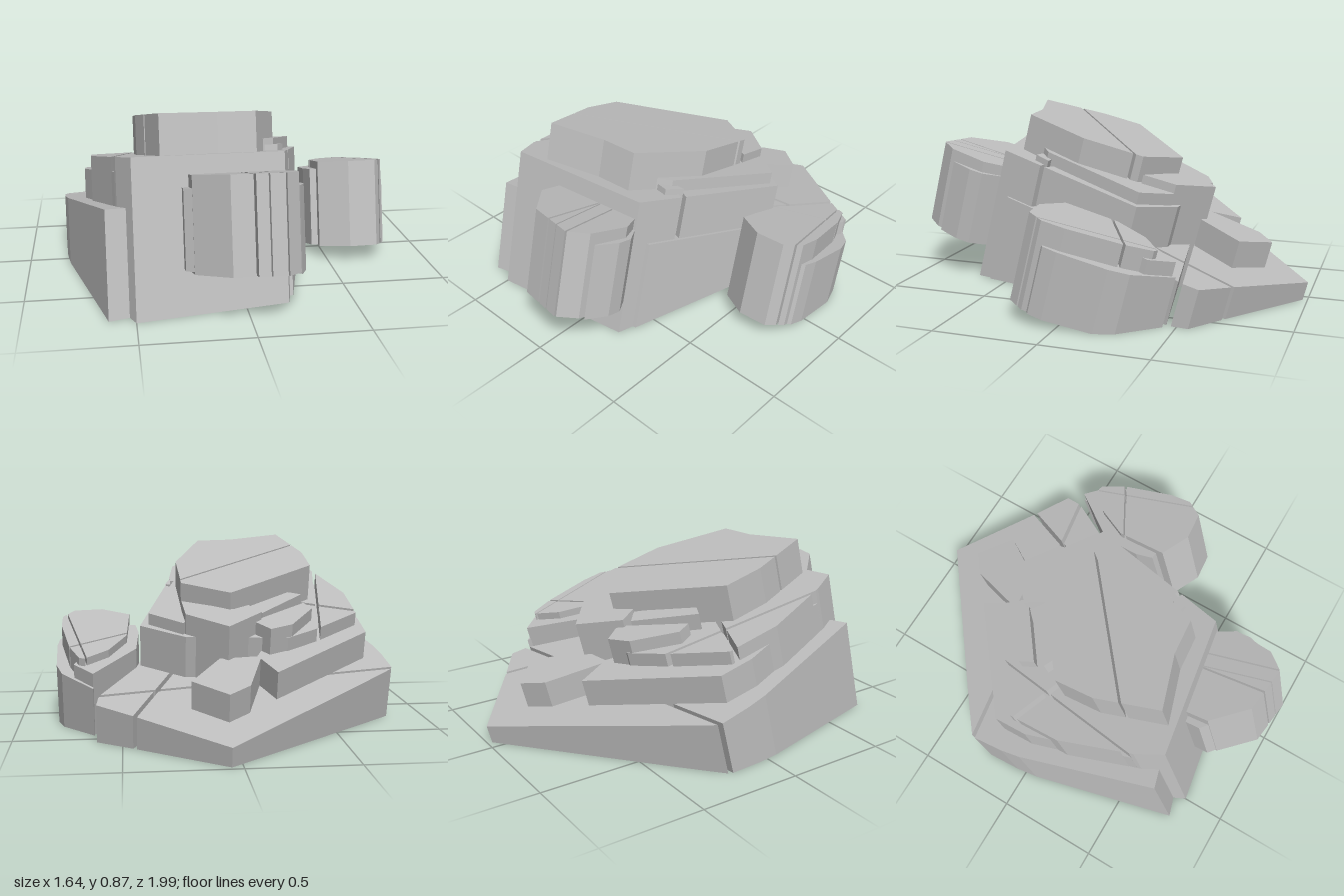
import * as THREE from 'three';

const TILT = 0.25; // strata lean: rise toward the front per unit of z
const LEN = Math.hypot(1, TILT);

// Keeps the part of an outline where normal . point >= limit
function clip(outline, [nx, nz], limit) {
  const out = [];
  outline.forEach((a, i) => {
    const b = outline[(i + 1) % outline.length];
    const da = a[0] * nx + a[1] * nz - limit;
    const db = b[0] * nx + b[1] * nz - limit;
    if (da >= 0) out.push(a);
    if (da * db < 0) {
      const t = da / (da - db);
      out.push([a[0] + (b[0] - a[0]) * t, a[1] + (b[1] - a[1]) * t]);
    }
  });
  return out;
}

// Splits an outline along straight cracks [x1, z1, x2, z2, gap]
function crack(outline, cracks) {
  let pieces = [outline];
  for (const [x1, z1, x2, z2, gap] of cracks) {
    const len = Math.hypot(x2 - x1, z2 - z1);
    const n = [(z1 - z2) / len, (x2 - x1) / len];
    const d = x1 * n[0] + z1 * n[1];
    pieces = pieces.flatMap((p) => [
      clip(p, n, d + gap / 2),
      clip(p, [-n[0], -n[1]], -d + gap / 2),
    ]).filter((p) => p.length > 2);
  }
  return pieces;
}

// A leaning, open-bottomed prism: outline is the top face as [x, z]; its top lies on
// y = h + slope * z. It runs down along the leaning axis by 'thick', or to the ground.
function slabGeometry(outline, h, thick = 9, slope = TILT) {
  const shape = new THREE.Shape(outline.map(([x, z]) => new THREE.Vector2(x, -z)));
  const prism = new THREE.ExtrudeGeometry(shape, { depth: 1, bevelEnabled: false, steps: 1 });
  prism.rotateX(-Math.PI / 2);
  const p = prism.attributes.position;
  const verts = [];
  for (let i = 0; i < p.count; i += 3) {
    const corners = [i, i + 1, i + 2];
    if (corners.every((c) => p.getY(c) < 0.5)) continue; // leave the underside open
    for (const c of corners) {
      const z = p.getZ(c);
      const y = h + slope * z;
      const t = p.getY(c) > 0.5 ? 0 : Math.min(thick, y * LEN);
      verts.push(p.getX(c), y - t / LEN, z + (t * TILT) / LEN);
    }
  }
  const g = new THREE.BufferGeometry();
  g.setAttribute('position', new THREE.Float32BufferAttribute(verts, 3));
  g.computeVertexNormals();
  return g;
}

export function createModel() {
  const stone = new THREE.MeshStandardMaterial({ color: 0xbebebe, flatShading: true, side: THREE.DoubleSide });
  stone.name = 'grey stone';
  const model = new THREE.Group();
  model.name = 'rockFormation';

  const addLayer = (name, outline, cracks, h, thick, slope) => {
    const group = new THREE.Group();
    group.name = name;
    crack(outline, cracks).forEach((piece, i) => {
      const mesh = new THREE.Mesh(slabGeometry(piece, h, thick, slope), stone);
      mesh.name = `${name}Slab${i + 1}`;
      group.add(mesh);
    });
    model.add(group);
  };

  // Broad bottom layer
  addLayer('base',
    [[-0.825, -0.29], [-0.62, -0.46], [0.05, -1], [0.445, -0.715], [0.615, -0.6], [0.605, -0.515],
      [0.43, -0.22], [0.235, 0.49], [-0.53, 0.62], [-0.62, 0.645], [-0.8, -0.02], [-0.815, -0.12]],
    [[-0.825, -0.285, 0.61, -0.515, 0.02], [0.445, -0.715, 0.335, -0.46, 0.02]],
    0.325, 9, 0.235);

  // Second layer: left shelf and back tongue
  addLayer('leftShelf',
    [[-0.71, -0.2], [-0.2, -0.62], [-0.13, -0.45], [-0.4, 0.13], [-0.57, 0.49], [-0.71, -0.03]], [], 0.475);
  addLayer('backTongue',
    [[0.04, -0.82], [0.195, -0.69], [0.05, -0.47], [-0.15, -0.45], [-0.06, -0.74]], [], 0.475);

  // Tall main layer reaching the front
  addLayer('mainLayer',
    [[-0.675, -0.13], [-0.45, -0.31], [-0.28, -0.42], [0.2, -0.39], [0.41, -0.25],
      [0.2, 0.51], [-0.5, 0.62], [-0.565, 0.49], [-0.675, 0.14]],
    [[-0.675, -0.1, -0.32, 0.045, 0.025], [-0.45, -0.31, -0.585, 0.5, 0.018]], 0.545);

  // Third layer chunks around the cap
  addLayer('leftChunk',
    [[-0.43, -0.23], [-0.3, -0.42], [-0.19, -0.47], [-0.12, -0.375], [-0.4, -0.16]], [], 0.61);
  addLayer('innerChunk', [[-0.17, -0.33], [-0.1, -0.27], [-0.3, -0.05], [-0.4, -0.1]], [], 0.63);
  addLayer('backChunk',
    [[0.01, -0.53], [0.2, -0.38], [0.21, -0.22], [-0.03, -0.33], [-0.11, -0.28], [-0.16, -0.37]], [], 0.65);
  addLayer('rightChunk',
    [[0.21, -0.375], [0.37, -0.25], [0.19, 0.28], [0.06, 0.38], [0.1, -0.2]], [], 0.605);
  addLayer('rightChip', [[0.2, 0.26], [0.24, 0.26], [0.2, 0.34], [0.14, 0.33]], [], 0.575);

  // Cap stone with a diagonal crack
  addLayer('cap',
    [[-0.015, -0.355], [0.21, -0.22], [0.22, 0.08], [0.08, 0.42], [-0.1, 0.435],
      [-0.37, 0.52], [-0.46, 0.21], [-0.465, 0.01]],
    [[0.21, -0.175, -0.42, 0.33, 0.012]], 0.738);

  // Boulder resting against the front face
  addLayer('frontBoulder',
    [[-0.25, 0.58], [-0.02, 0.54], [0.18, 0.52], [0.23, 0.62], [0.2, 0.81],
      [0.13, 0.89], [-0.1, 0.86], [-0.245, 0.71]],
    [[-0.015, 0.54, 0, 0.865, 0.01], [-0.01, 0.54, 0.06, 0.88, 0.006], [0.06, 0.53, 0.13, 0.885, 0.008]],
    0.442, 0.43, 0.275);
  addLayer('frontBoulderLeftShard', [[-0.28, 0.59], [-0.2, 0.56], [-0.19, 0.77], [-0.28, 0.69]], [], 0.4, 0.36);
  addLayer('frontBoulderRightShard', [[0.18, 0.52], [0.25, 0.62], [0.25, 0.69], [0.21, 0.8], [0.18, 0.75]], [], 0.4, 0.38);

  // Boulder on the left side
  addLayer('sideBoulder',
    [[0.67, -0.43], [0.695, -0.42], [0.745, -0.3], [0.795, -0.05], [0.795, 0.06], [0.74, 0.14],
      [0.6, 0.153], [0.46, 0.08], [0.475, -0.18], [0.56, -0.34]],
    [[0.465, -0.15, 0.74, -0.3, 0.012], [0.67, -0.39, 0.775, 0.09, 0.008]],
    0.47, 0.43);
  addLayer('sideBoulderBackShard',
    [[0.63, -0.5], [0.43, -0.24], [0.415, -0.05], [0.43, 0.04], [0.56, 0.05], [0.72, -0.4]], [], 0.43, 0.39);
  addLayer('sideBoulderOuterShard',
    [[0.63, -0.5], [0.78, -0.34], [0.81, -0.25], [0.82, -0.02], [0.81, 0.05], [0.77, 0.08], [0.6, -0.2]], [], 0.36, 0.325);

  return model;
}
